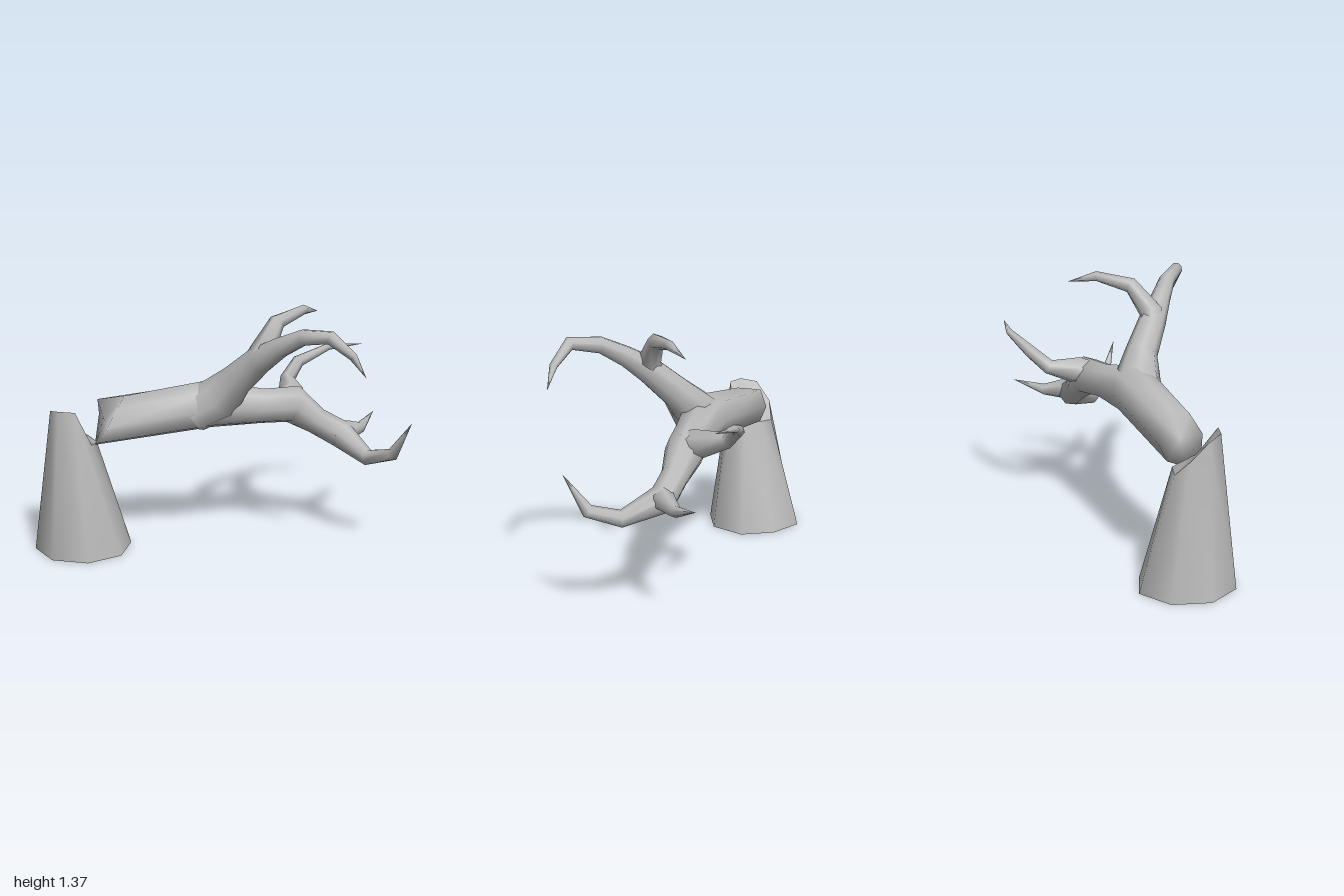
import * as THREE from 'three';

const V = (x, y, z) => new THREE.Vector3(x, y, z);

// Skin a list of equal-length rings with smooth normals; caps can share or split the rim
function loft(rings, { capStart = false, capEnd = false } = {}) {
  const n = rings[0].length, pos = [], idx = [];
  rings.forEach(r => r.forEach(p => pos.push(p.x, p.y, p.z)));
  for (let i = 0; i < rings.length - 1; i++) {
    for (let j = 0; j < n; j++) {
      const k = (j + 1) % n, a = i * n + j, b = i * n + k;
      idx.push(a, b, a + n);
      if (rings[i + 1][j].distanceTo(rings[i + 1][k]) > 1e-5) idx.push(b, b + n, a + n);
    }
  }
  const cap = (ringIndex, flip) => {
    const base = ringIndex * n, centre = pos.length / 3, c = V(0, 0, 0);
    rings[ringIndex].forEach(p => c.addScaledVector(p, 1 / n));
    pos.push(c.x, c.y, c.z);
    for (let j = 0; j < n; j++) {
      const a = base + j, b = base + (j + 1) % n;
      idx.push(centre, flip ? b : a, flip ? a : b);
    }
  };
  if (capStart) cap(0, true);
  if (capEnd) cap(rings.length - 1, false);
  const g = new THREE.BufferGeometry();
  g.setAttribute('position', new THREE.Float32BufferAttribute(pos, 3));
  g.setIndex(idx);
  g.computeVertexNormals();
  return g;
}

function ring(c, r, u, v, n) {
  return Array.from({ length: n }, (_, j) => {
    const a = j / n * Math.PI * 2;
    return c.clone().addScaledVector(u, r * Math.cos(a)).addScaledVector(v, r * Math.sin(a));
  });
}

// Rings along a path of [x, y, z, radius], each square to the averaged direction
function limbRings(path, n) {
  const pts = path.map(p => V(p[0], p[1], p[2]));
  let u = V(0, 1, 0);
  return pts.map((p, i) => {
    const t = V(0, 0, 0);
    if (i > 0) t.add(p.clone().sub(pts[i - 1]).normalize());
    if (i < pts.length - 1) t.add(pts[i + 1].clone().sub(p).normalize());
    t.normalize();
    u = u.clone().addScaledVector(t, -u.dot(t)).normalize();
    return ring(p, path[i][3], u, t.clone().cross(u), n);
  });
}

export function createModel() {
  const model = new THREE.Group();
  const wood = new THREE.MeshStandardMaterial({ color: 0xbababa, side: THREE.DoubleSide });
  wood.name = 'greyWood';
  const add = (name, geometry) => {
    const m = new THREE.Mesh(geometry, wood);
    m.name = name;
    model.add(m);
  };

  // Stump: hollow below, its splintered top standing tall at the front right corner
  const foot = ring(V(-0.733, 0, -0.204), 0.269, V(0, 0, 1), V(1, 0, 0), 8);
  foot[3].set(-0.555, 0, -0.375);
  const broken = ring(V(-0.772, 0, -0.168), 0.125, V(0, 0, 1), V(1, 0, 0), 8);
  [0.83, 0.63, 0.62, 0.63, 0.62, 0.71, 0.81, 0.83].forEach((y, j) => { broken[j].y = y; });
  add('stump', loft([foot, broken]));
  add('stumpTop', loft([broken, broken.map(p => p.clone().lerp(V(-0.772, 0.71, -0.168), 0.5))],
    { capEnd: true }));

  // Fallen trunk, running on into the lowest front twig
  const trunk = limbRings([
    [-0.58, 0.74, -0.165, 0.137], [-0.02, 0.825, -0.11, 0.135], [0.27, 0.793, -0.12, 0.098],
    [0.45, 0.785, -0.155, 0.108], [0.58, 0.685, -0.14, 0.075], [0.72, 0.605, -0.12, 0.078],
    [0.83, 0.52, 0.06, 0.045], [0.93, 0.58, 0.2, 0.035], [1.0, 0.785, 0.303, 0]], 8);
  // Slanted break at the butt end
  [-0.49, -0.54, -0.6, -0.65, -0.66, -0.64, -0.62, -0.63].forEach((x, j) => { trunk[0][j].x = x; });
  add('fallenTrunk', loft(trunk, { capStart: true }));

  // Side branches, each starting inside its parent
  const branches = {
    upperBranch: [[-0.12, 0.785, -0.11, 0.12], [0.02, 0.865, -0.07, 0.128], [0.1, 0.985, 0.0, 0.09],
      [0.2, 1.125, 0.125, 0.076], [0.29, 1.215, 0.225, 0.056], [0.39, 1.29, 0.325, 0.044],
      [0.505, 1.315, 0.45, 0.036], [0.615, 1.22, 0.495, 0.022], [0.685, 1.105, 0.505, 0]],
    upperBackTwig: [[0.15, 1.06, 0.09, 0.06], [0.215, 1.17, 0.125, 0.068], [0.31, 1.31, 0.05, 0.044],
      [0.48, 1.34, -0.075, 0.028], [0.59, 1.3, -0.203, 0]],
    backTwig: [[0.38, 0.78, -0.11, 0.08], [0.455, 0.825, -0.22, 0.078], [0.465, 0.865, -0.385, 0.042],
      [0.545, 0.945, -0.46, 0.036], [0.73, 1.013, -0.498, 0.02], [0.92, 1.035, -0.45, 0]],
    lowerBackTwig: [[0.66, 0.64, -0.1, 0.05], [0.76, 0.615, -0.14, 0.06],
      [0.86, 0.6, -0.235, 0.032], [0.975, 0.65, -0.375, 0]],
  };
  for (const [name, path] of Object.entries(branches)) {
    add(name, loft(limbRings(path, name === 'upperBranch' ? 8 : 6)));
  }
  return model;
}
